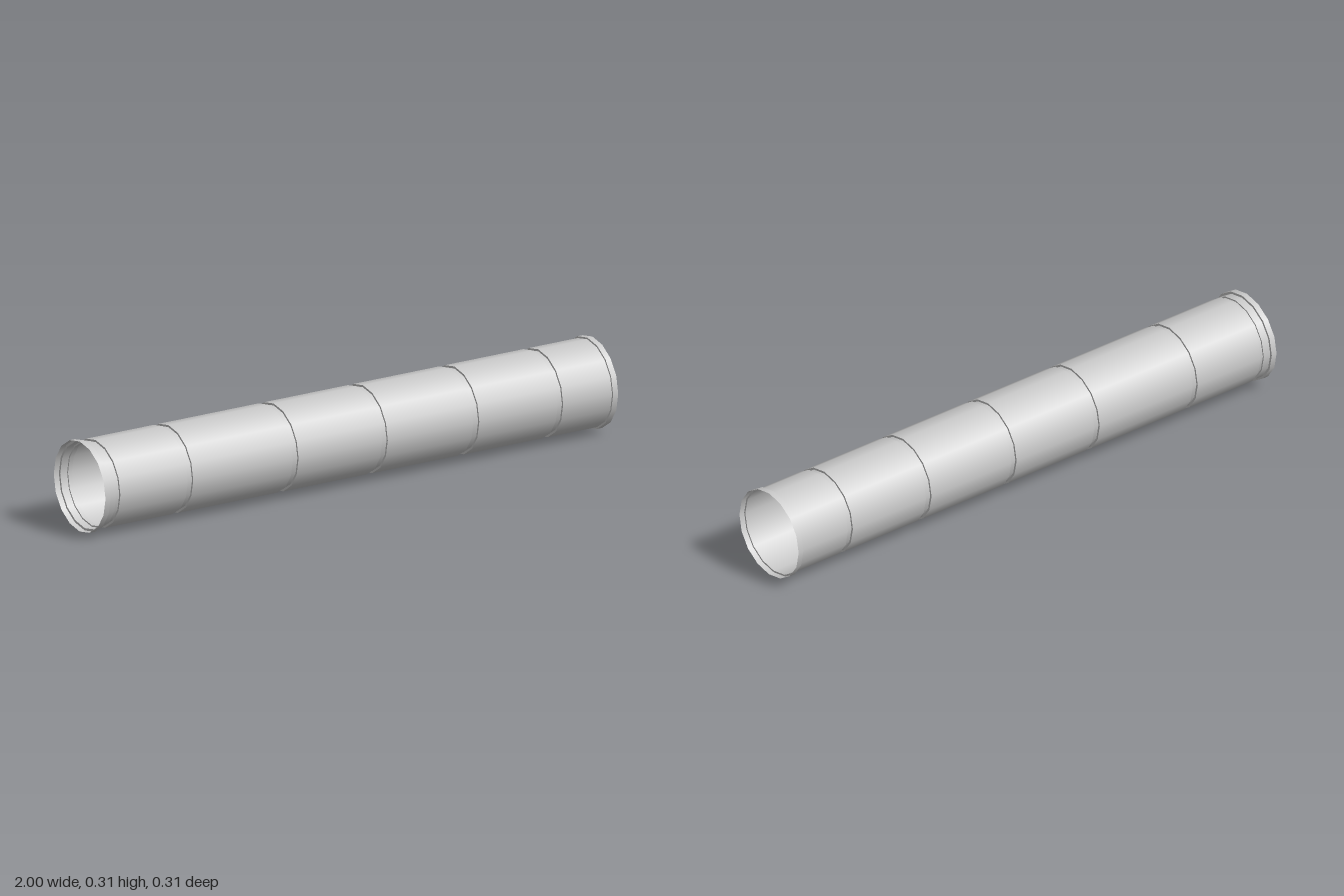
import * as THREE from 'three';
import { mergeGeometries } from 'three/addons/utils/BufferGeometryUtils.js';

const SIDES = 16;
const R_COLLAR = 0.155, R_BODY = 0.149, R_NECK = 0.147, R_GROOVE = 0.142;

export function createModel() {
  const group = new THREE.Group();
  group.name = 'pipe';
  const material = new THREE.MeshStandardMaterial({ color: 0xcccccc, side: THREE.DoubleSide });

  // Thin sheet turned around the x axis from [x, radius] points, creased at each point
  function addShell(name, profile) {
    const bands = [];
    for (let i = 0; i < profile.length - 1; i++) {
      const points = [profile[i], profile[i + 1]].map(([x, r]) => new THREE.Vector2(r, x));
      bands.push(new THREE.LatheGeometry(points, SIDES).rotateZ(-Math.PI / 2));
    }
    const mesh = new THREE.Mesh(mergeGeometries(bands), material);
    mesh.name = name;
    mesh.position.y = R_COLLAR;
    group.add(mesh);
  }

  // Raised collars at both open ends
  addShell('rightCollar', [[-1, R_COLLAR], [-0.98, R_COLLAR], [-0.98, R_NECK]]);
  addShell('leftCollar', [[0.98, R_BODY], [0.98, R_COLLAR], [1, R_COLLAR]]);

  // Neck between the right collar and the first groove
  addShell('neck', [[-0.98, R_NECK], [-0.953, R_NECK]]);

  // Pressed-in grooves, with a plain wall section after each one
  const grooves = [
    [-0.953, -0.938], [-0.675, -0.654], [-0.265, -0.243],
    [0.083, 0.105], [0.439, 0.462], [0.768, 0.789],
  ];
  grooves.forEach(([a, b], i) => {
    const next = i < grooves.length - 1 ? grooves[i + 1][0] : 0.98;
    const before = i === 0 ? R_NECK : R_BODY;
    addShell(`groove${i + 1}`, [[a, before], [a, R_GROOVE], [b, R_GROOVE], [b, R_BODY]]);
    addShell(`wallSection${i + 1}`, [[b, R_BODY], [next, R_BODY]]);
  });

  return group;
}
